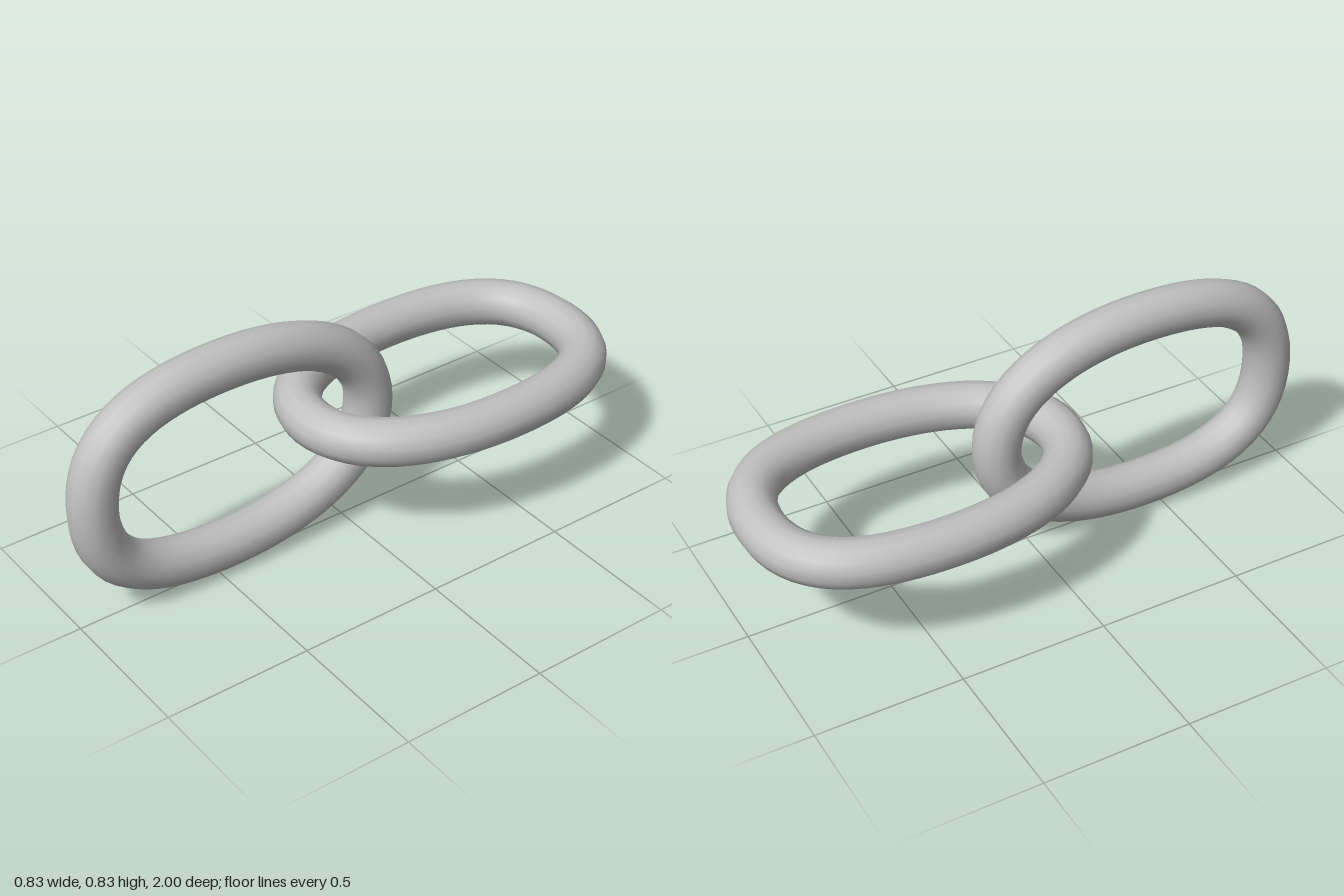
import * as THREE from 'three';

const RADIUS = 0.08;      // thickness of the rod
const HALF_WIDTH = 0.335; // centre line, across the link
const HALF_LENGTH = 0.517; // centre line, along the link
const SIDE = -0.035;      // widest point, a little towards the squarer end

// One quarter of the link, from an end to a side; k sets how square the corner is.
function quarter(sign, end, k) {
  const a = new THREE.Vector3(0, 0, end);
  const d = new THREE.Vector3(sign * HALF_WIDTH, 0, SIDE);
  const b = new THREE.Vector3(d.x * k, 0, end);
  const c = new THREE.Vector3(d.x, 0, SIDE + (end - SIDE) * k);
  return [a, b, c, d];
}

// Closed centre line in the xz plane, starting at the squarer end.
function linkPath() {
  const path = new THREE.CurvePath();
  const add = (p) => path.add(new THREE.CubicBezierCurve3(...p));
  add(quarter(1, -HALF_LENGTH, 0.68));
  add(quarter(1, HALF_LENGTH, 0.6).reverse());
  add(quarter(-1, HALF_LENGTH, 0.6));
  add(quarter(-1, -HALF_LENGTH, 0.68).reverse());
  return path;
}

export function createModel() {
  const model = new THREE.Group();
  model.name = 'chainLinks';

  const steel = new THREE.MeshStandardMaterial({ color: 0xc0c0c0 });
  steel.name = 'steel grey';

  const geometry = new THREE.TubeGeometry(linkPath(), 72, RADIUS, 14, true);

  // Link lying flat at the back
  const flatLink = new THREE.Mesh(geometry, steel);
  flatLink.name = 'flatLink';
  flatLink.position.set(0, 0.411, -0.403);
  model.add(flatLink);

  // Link standing upright at the front, squarer end hooked through the flat one
  const uprightLink = new THREE.Mesh(geometry, steel);
  uprightLink.name = 'uprightLink';
  uprightLink.rotation.set(0, Math.PI, Math.PI / 2);
  uprightLink.position.set(-0.008, 0.417, 0.403);
  model.add(uprightLink);

  return model;
}
